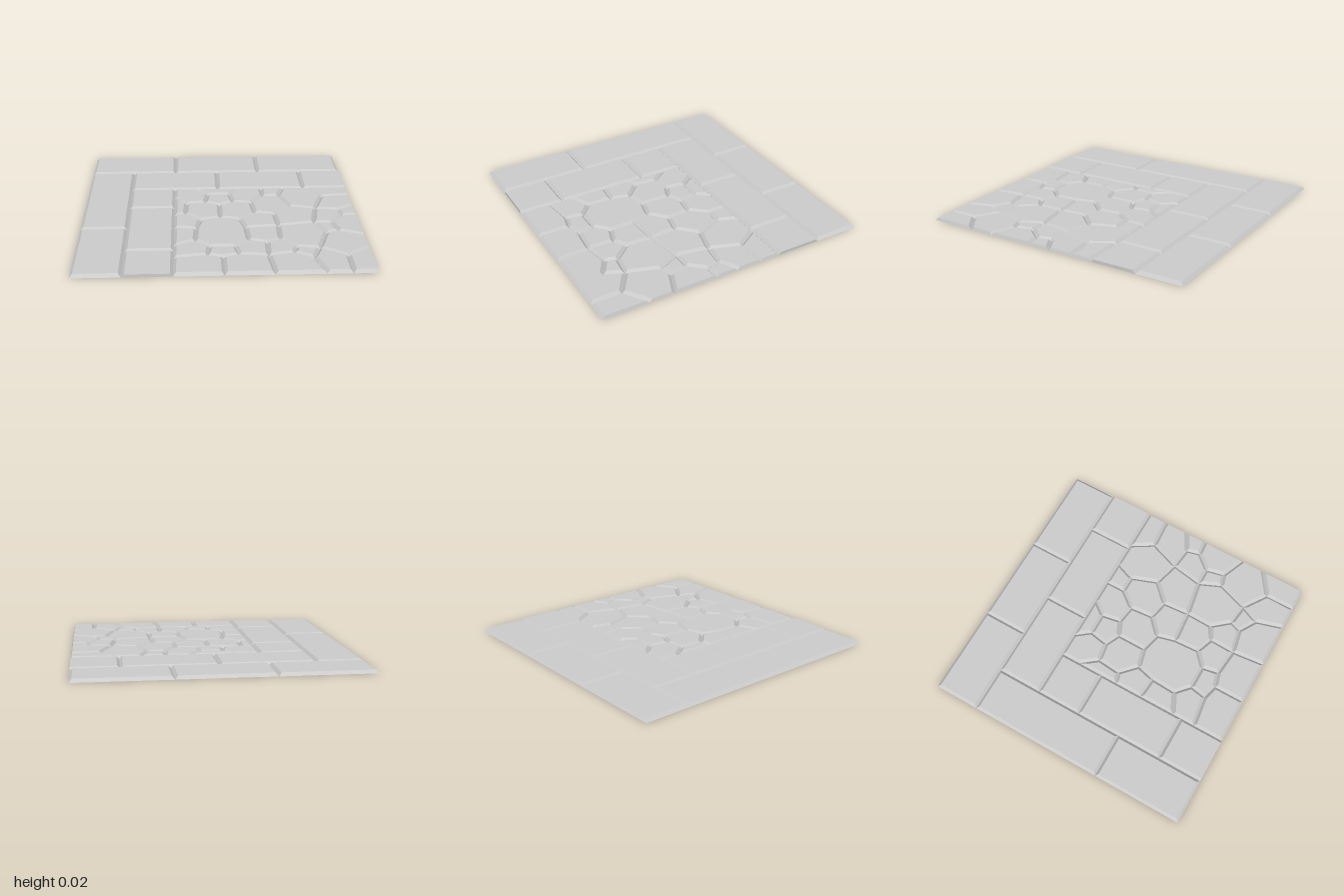
import * as THREE from 'three';

const HEIGHT = 0.022, BEVEL = 0.02, T = 1 / 3;

// Move every edge of a clockwise outline inwards by its own bevel and meet the neighbours
function inset(outline, bevels) {
  const n = outline.length;
  const lines = outline.map(([x, z], i) => {
    const [x2, z2] = outline[(i + 1) % n];
    const len = Math.hypot(x2 - x, z2 - z);
    const dx = (x2 - x) / len, dz = (z2 - z) / len;
    return { x: x - dz * bevels[i], z: z + dx * bevels[i], dx, dz };
  });
  return lines.map((b, i) => {
    const a = lines[(i + n - 1) % n];
    const cross = a.dx * b.dz - a.dz * b.dx;
    if (Math.abs(cross) < 0.02) return [b.x, b.z];
    const s = ((b.x - a.x) * b.dz - (b.z - a.z) * b.dx) / cross;
    return [a.x + a.dx * s, a.z + a.dz * s];
  });
}

// One stone: sloping sides from the joint line up to a flat top, open underneath
function stoneGeometry(outline, bevelOf) {
  const n = outline.length;
  const bevels = outline.map((p, i) => bevelOf(p, outline[(i + 1) % n]));
  const top = inset(outline, bevels);
  const mid = [0, 1].map(k => top.reduce((sum, p) => sum + p[k], 0) / n);
  const pos = [];
  const put = ([x, z], y) => pos.push(x, y, z);
  for (let i = 0; i < n; i++) {
    const j = (i + 1) % n;
    put(mid, HEIGHT); put(top[j], HEIGHT); put(top[i], HEIGHT);
    put(outline[i], 0); put(top[i], HEIGHT); put(top[j], HEIGHT);
    put(outline[i], 0); put(top[j], HEIGHT); put(outline[j], 0);
  }
  const geo = new THREE.BufferGeometry();
  geo.setAttribute('position', new THREE.Float32BufferAttribute(pos, 3));
  geo.computeVertexNormals();
  return geo;
}

// Joint corners of the cobbles, as [x, z]
const corners = {
  // middle line
  D: [0, -0.04], I: [0, 0.175], c: [0, 0.77], B1: [0, 1],
  // left border
  TL: [-T, -T], L1: [-T, -0.19], L2: [-T, 0.125], L3: [-T, 0.33],
  L4: [-T, 0.6], L5: [-T, 0.77], BL: [-T, 1],
  // right field
  T3: [0.335, -T], N: [0.335, -0.19], T4: [0.51, -T], O: [0.455, -0.19],
  T5: [0.69, -T], o: [0.79, -0.17], P: [0.525, 0], p: [0.71, 0.05],
  q: [0.87, 0.07], r: [0.895, 0.17], s: [0.8, 0.28], n: [0.67, 0.28],
  t: [0.83, 0.415], m: [0.74, 0.44], Q: [0.395, 0.13], S: [0.41, 0.325],
  f: [0.405, 0.52], e: [0.31, 0.575], h: [0.51, 0.645], i: [0.48, 0.725],
  g: [0.305, 0.76], j: [0.665, 0.665], k: [0.605, 0.8], l: [0.835, 0.78],
  // right and front borders
  TR: [1, -T], R1: [1, -0.185], R2: [1, 0], R3: [1, 0.16], R4: [1, 0.485],
  R5: [1, 0.665], BR: [1, 1], B2: [0.33, 1], B3: [0.665, 1], B4: [0.835, 1],
};

// Corners that repeat mirrored about x = 0: the mirrored one has a trailing +
const mirrored = {
  T1: [-0.16, -T], A: [-0.08, -0.23], C: [-0.105, -0.09], F: [-0.24, -0.07],
  G: [-0.255, 0.1], H: [-0.14, 0.21], V: [-0.175, 0.345], W: [-0.185, 0.53],
  X: [-0.085, 0.62], b: [-0.107, 0.74],
};
for (const [name, [x, z]] of Object.entries(mirrored)) {
  corners[name] = [x, z];
  corners[name + '+'] = [-x, z];
}

// Each cobble goes clockwise round its corners, seen from above
const cobbles = [
  'TL T1 A C F L1', 'T1 T1+ A+ A', 'A A+ C+ D C', 'T1+ T3 N F+ C+ A+',
  'T3 T4 O N', 'T4 T5 o p P O', 'T5 TR R1 o', 'o R1 R2 q p', 'q R2 R3 r',
  'p q r s n', 'r R3 R4 t s', 'n s t m', 't R4 R5 l j m', 'l R5 BR B4',
  'j l B4 B3 k', 'h j k i', 'i k B3 B2 g', 'f h i g e', 'S n m j h f',
  'P p n S Q', 'N O P Q G+ F+', 'C+ F+ G+ H+ I D', 'C D I H G F',
  'L1 F G L2', 'L2 G H V L3', 'L3 V W L4', 'L4 W X b L5',
  'H I H+ V+ W+ X+ X W V', 'X X+ b+ c b', 'G+ Q S V+ H+',
  'V+ S f e W+', 'W+ e g b+ X+', 'b+ g B2 B1 c', 'b c B1 BL L5',
];

// Paving slabs: [x0, x1, z0, z1]; the cut ones run off the tile without a bevel
const slabs = [];
for (let i = 0; i < 3; i++) slabs.push([-1 + 2 * T * i, -1 + 2 * T * (i + 1), -1, -2 * T]);
slabs.push([-2 * T, 0, -2 * T, -T], [0, 2 * T, -2 * T, -T], [2 * T, 1, -2 * T, -T, 'right']);
slabs.push([-1, -2 * T, -2 * T, T], [-1, -2 * T, T, 1]);
slabs.push([-2 * T, -T, -T, 0], [-2 * T, -T, 0, 2 * T], [-2 * T, -T, 2 * T, 1, 'front']);

export function createModel() {
  const model = new THREE.Group();
  model.name = 'pavingTile';
  const material = new THREE.MeshStandardMaterial({
    color: 0xcccccc, flatShading: true, side: THREE.DoubleSide,
  });
  const addGroup = name => {
    const group = new THREE.Group();
    group.name = name;
    model.add(group);
    return group;
  };
  const addStone = (group, name, outline, bevelOf) => {
    const mesh = new THREE.Mesh(stoneGeometry(outline, bevelOf), material);
    mesh.name = name;
    group.add(mesh);
  };

  // Rectangular slabs along the back and the right-hand side
  const slabGroup = addGroup('slabs');
  for (const [x0, x1, z0, z1, cut] of slabs) {
    const outline = [[x0, z0], [x1, z0], [x1, z1], [x0, z1]];
    addStone(slabGroup, 'slab', outline, (a, b) =>
      (cut === 'right' && a[0] === 1 && b[0] === 1) ||
      (cut === 'front' && a[1] === 1 && b[1] === 1) ? 0 : BEVEL);
  }

  // Irregular cobbles, nearly upright along the outer side edge
  const cobbleGroup = addGroup('cobbles');
  for (const list of cobbles) {
    addStone(cobbleGroup, 'cobble', list.split(' ').map(name => corners[name]),
      (a, b) => (a[0] === 1 && b[0] === 1 ? 0.006 : BEVEL));
  }
  return model;
}
